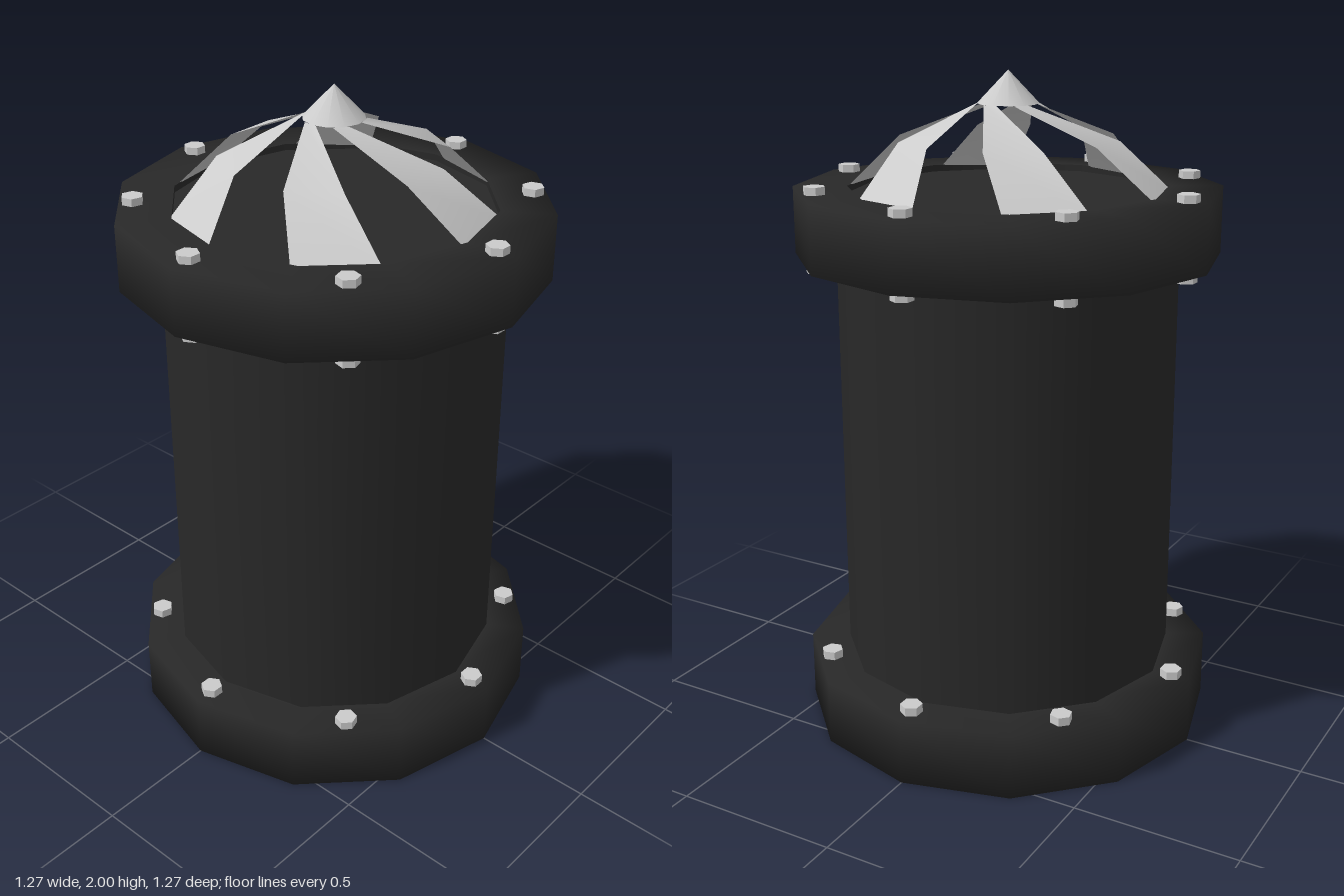
import * as THREE from 'three';

const SIDES = 12;
const VANES = 6;
const BOLTS = 8;
const rad = THREE.MathUtils.degToRad;

const dark = new THREE.MeshStandardMaterial({ color: 0x282828 });
const metal = new THREE.MeshStandardMaterial({ color: 0xcccccc });
const metalThin = new THREE.MeshStandardMaterial({ color: 0xcccccc, side: THREE.DoubleSide });

function add(parent, name, geometry, material) {
  const mesh = new THREE.Mesh(geometry, material);
  mesh.name = name;
  parent.add(mesh);
  return mesh;
}

// Twelve-sided turned part from [radius, height] pairs
function turned(profile) {
  return new THREE.LatheGeometry(profile.map(([r, y]) => new THREE.Vector2(r, y)), SIDES);
}

// Swept strip: each row is radius, height and twist, spanning from one edge to the other
function vaneGeometry() {
  const rows = [[0.485, 1.65, 0], [0.33, 1.805, -10.5], [0.091, 1.905, -49]];
  const positions = [];
  const index = [];
  rows.forEach(([r, y, twist], i) => {
    for (const edge of [88, 117]) {
      const a = rad(edge + twist);
      positions.push(r * Math.cos(a), y, -r * Math.sin(a));
    }
    if (i > 0) {
      const k = 2 * i - 2;
      index.push(k, k + 1, k + 2, k + 1, k + 3, k + 2);
    }
  });
  const geometry = new THREE.BufferGeometry();
  geometry.setAttribute('position', new THREE.Float32BufferAttribute(positions, 3));
  geometry.setIndex(index);
  geometry.computeVertexNormals();
  return geometry;
}

// Circle of hexagonal bolts running between two heights
function boltRing(name, bottom, top) {
  const ring = new THREE.Group();
  ring.name = name;
  const geometry = new THREE.CylinderGeometry(0.033, 0.033, top - bottom, 6).toNonIndexed();
  geometry.computeVertexNormals();
  for (let i = 0; i < BOLTS; i++) {
    const a = (i / BOLTS) * Math.PI * 2;
    const bolt = add(ring, 'bolt', geometry, metal);
    bolt.position.set(0.573 * Math.sin(a), (bottom + top) / 2, 0.573 * Math.cos(a));
    bolt.rotation.y = Math.PI / 2 + (i % 2) * a;
  }
  return ring;
}

export function createModel() {
  const model = new THREE.Group();
  model.name = 'ventColumn';

  // Column and its two flanges
  add(model, 'bottomFlange', turned([[0, 0], [0.635, 0], [0.635, 0.204], [0.5, 0.204]]), dark);
  add(model, 'body', turned([[0.513, 0.2], [0.513, 1.47]]), dark);
  add(model, 'topFlange', turned([[0.5, 1.465], [0.635, 1.465], [0.635, 1.665], [0.475, 1.665]]), dark);

  // Shallow recess under the vanes
  add(model, 'recessWall', turned([[0.475, 1.665], [0.475, 1.645]]), dark);
  add(model, 'recessFloor', turned([[0.475, 1.645], [0, 1.645]]), dark);

  // Bolts through both flanges
  model.add(boltRing('bottomBolts', 0.18, 0.23));
  model.add(boltRing('topBolts', 1.439, 1.688));

  // Domed cap of twisted vanes with a pointed tip
  const cap = new THREE.Group();
  cap.name = 'vanedCap';
  const vane = vaneGeometry();
  for (let i = 0; i < VANES; i++) {
    add(cap, 'vane', vane, metalThin).rotation.y = (i / VANES) * Math.PI * 2;
  }
  const tip = add(cap, 'capTip', new THREE.ConeGeometry(0.091, 0.095, SIDES, 1, true), metalThin);
  tip.position.y = 1.9525;
  model.add(cap);

  return model;
}
